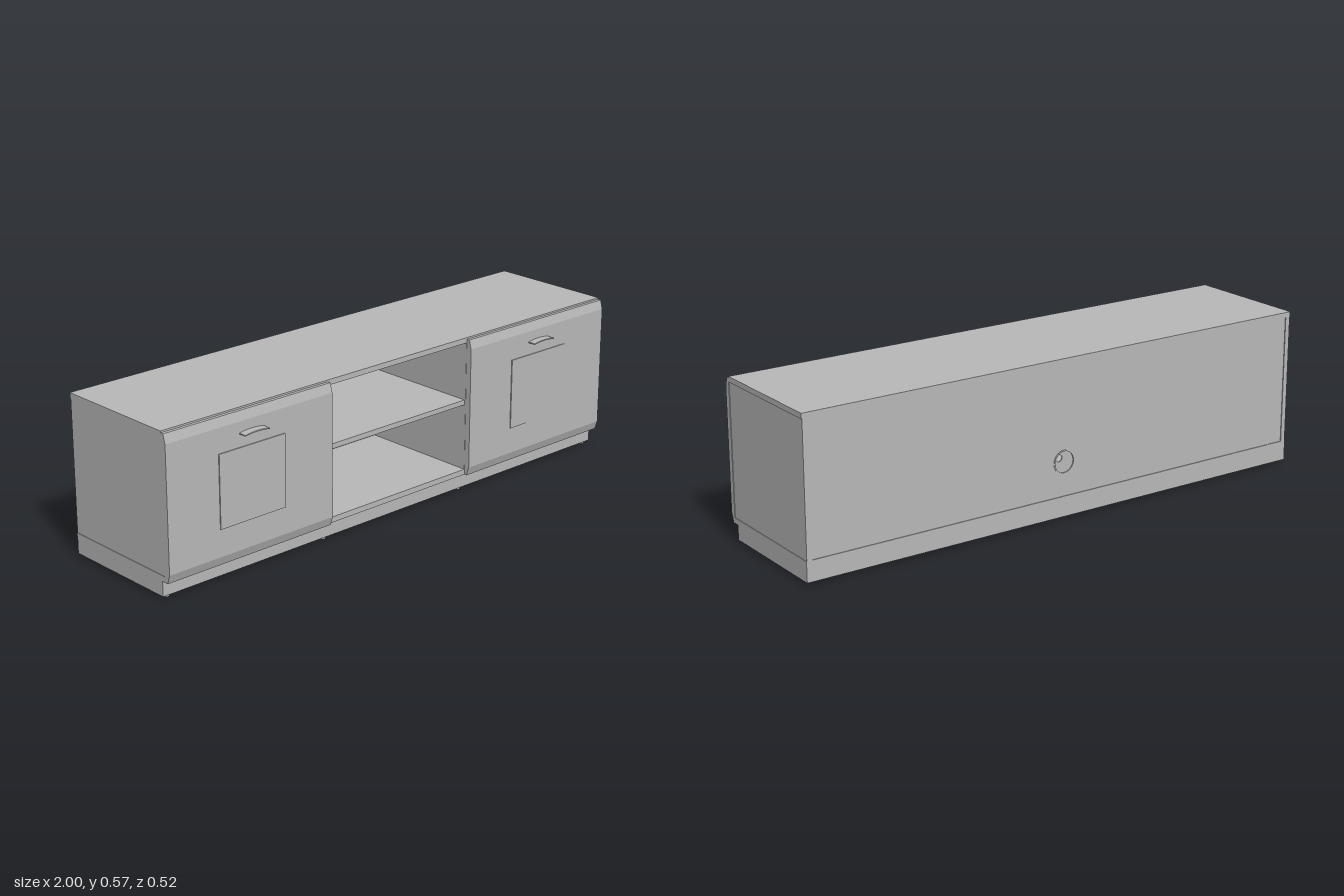
import * as THREE from 'three';

export function createModel() {
  const root = new THREE.Group();
  root.name = 'mediaCabinet';
  const grey = new THREE.MeshStandardMaterial({ color: 0xb8b8b8 });
  grey.name = 'satin grey';

  const add = (name, geometry, parent = root) => {
    const mesh = new THREE.Mesh(geometry, grey);
    mesh.name = name;
    parent.add(mesh);
    return mesh;
  };
  // Box given by its minimum and maximum on each axis
  const box = (name, x0, x1, y0, y1, z0, z1, parent) => {
    const g = new THREE.BoxGeometry(x1 - x0, y1 - y0, z1 - z0);
    g.translate((x0 + x1) / 2, (y0 + y1) / 2, (z0 + z1) / 2);
    return add(name, g, parent);
  };
  const extrude = (shape, depth) =>
    new THREE.ExtrudeGeometry(shape, { depth, bevelEnabled: false, curveSegments: 20 });

  const back = -0.257, front = 0.21;

  // Carcass
  box('topPanel', -1, 1, 0.549, 0.568, back, front);
  box('bottomPanel', -1, 1, 0.063, 0.083, back, front);
  box('plinth', -0.999, 0.999, 0.01, 0.063, back, 0.193);
  box('shelf', -0.319, 0.319, 0.322, 0.34, -0.247, 0.205);

  // Back panel with a round cable hole
  const holeY = 0.205, holeR = 0.041;
  const panel = new THREE.Shape();
  panel.moveTo(-0.98, 0.083).lineTo(0.98, 0.083).lineTo(0.98, 0.549).lineTo(-0.98, 0.549).closePath();
  panel.holes.push(new THREE.Path().absarc(0, holeY, holeR, 0, Math.PI * 2, true));
  add('backPanel', extrude(panel, 0.007)).position.z = -0.254;

  // Cable grommet: a rim and a cover with a small opening
  const rim = new THREE.Shape().absarc(0, 0, holeR + 0.002, 0, Math.PI * 2, false);
  rim.holes.push(new THREE.Path().absarc(0, 0, holeR - 0.003, 0, Math.PI * 2, true));
  add('grommetRim', extrude(rim, 0.011)).position.set(0, holeY, -0.256);
  const cover = new THREE.Shape().absarc(0, 0, holeR - 0.002, 0, Math.PI * 2, false);
  cover.holes.push(new THREE.Path().absarc(0.02, 0.016, 0.0125, 0, Math.PI * 2, true));
  add('grommetCover', extrude(cover, 0.004)).position.set(0, holeY, -0.252);

  // Door section, bevelled along its top and bottom edges
  const section = new THREE.Shape();
  section.moveTo(0.21, 0.063).lineTo(0.22, 0.063).lineTo(0.231, 0.095);
  section.lineTo(0.231, 0.53).lineTo(0.222, 0.562).lineTo(0.21, 0.562).closePath();
  const doorWidth = 0.68;
  const doorGeometry = extrude(section, doorWidth);
  doorGeometry.rotateY(-Math.PI / 2);
  doorGeometry.translate(doorWidth / 2, 0, 0);

  // Thin bowed handle
  const bow = new THREE.Shape();
  bow.moveTo(-0.05, 0.488).quadraticCurveTo(0, 0.497, 0.05, 0.488);
  bow.lineTo(0.05, 0.492).quadraticCurveTo(0, 0.501, -0.05, 0.492).closePath();
  const handleGeometry = extrude(bow, 0.03);
  handleGeometry.translate(0, 0, 0.23);

  const footGeometry = new THREE.CylinderGeometry(0.013, 0.011, 0.01, 20);

  for (const s of [1, -1]) {
    const side = s > 0 ? 'left' : 'right';
    const x = s * 0.989, d = s * 0.329;
    box(side + 'SidePanel', x - 0.009, x + 0.009, 0.083, 0.549, back, front);
    box(side + 'Divider', d - 0.01, d + 0.01, 0.083, 0.549, -0.247, front);

    const door = new THREE.Group();
    door.name = side + 'Door';
    door.position.x = s * 0.66;
    root.add(door);
    add('doorPanel', doorGeometry, door);
    box('windowPanel', -0.135, 0.135, 0.19, 0.444, 0.23, 0.2345, door);
    add('handle', handleGeometry, door);

    for (const fx of [0.975, 0.318])
      for (const fz of [0.175, -0.222])
        add('foot', footGeometry).position.set(s * fx, 0.005, fz);
  }
  return root;
}
